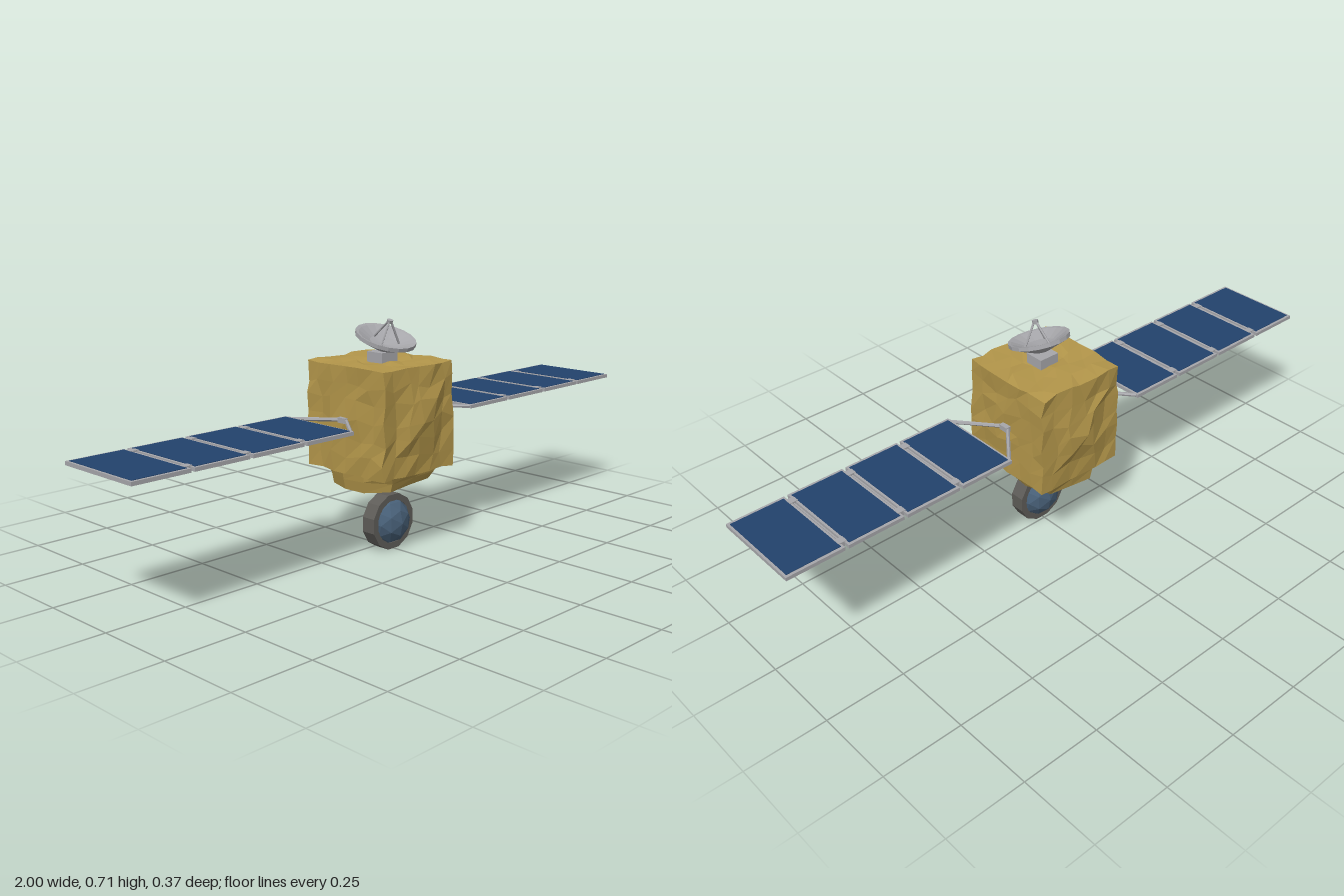
import * as THREE from 'three';

const mat = (name, color) => {
  const m = new THREE.MeshStandardMaterial({ color });
  m.name = name;
  return m;
};

export function createModel() {
  const gold = mat('gold foil', 0xb3964a);
  const grey = mat('light grey metal', 0xa6a6aa);
  const blue = mat('solar blue', 0x22426c);
  const dark = mat('dark grey metal', 0x5e5c58);
  const glass = mat('lens blue', 0x486078);
  const root = new THREE.Group();
  root.name = 'satellite';

  // Faceted mesh helper
  const add = (parent, name, geo, material, x = 0, y = 0, z = 0) => {
    const g = geo.index ? geo.toNonIndexed() : geo;
    g.computeVertexNormals();
    const mesh = new THREE.Mesh(g, material);
    mesh.name = name;
    mesh.position.set(x, y, z);
    parent.add(mesh);
    return mesh;
  };
  const box = (w, h, d) => new THREE.BoxGeometry(w, h, d);
  const rod = (parent, name, a, b, r, material, sides = 6) => {
    const va = new THREE.Vector3(...a), vb = new THREE.Vector3(...b);
    const dir = vb.clone().sub(va);
    const mesh = add(parent, name, new THREE.CylinderGeometry(r, r, dir.length(), sides), material);
    mesh.position.copy(va).add(vb).multiplyScalar(0.5);
    mesh.quaternion.setFromUnitVectors(new THREE.Vector3(0, 1, 0), dir.normalize());
  };

  // Repeatable noise from a position, so shared corners move together
  const noise = (v, k) => {
    const s = Math.sin(Math.round(v.x * 1000) * 12.99 + Math.round(v.y * 1000) * 78.23
      + Math.round(v.z * 1000) * 37.72 + k * 19.19) * 4375.85;
    return (s - Math.floor(s)) * 2 - 1;
  };
  const reshape = (geo, rule) => {
    const p = geo.attributes.position, v = new THREE.Vector3();
    for (let i = 0; i < p.count; i++) {
      v.fromBufferAttribute(p, i);
      rule(v);
      p.setXYZ(i, v.x, v.y, v.z);
    }
    return geo;
  };

  // Crumpled foil body with a shallow peak on the front and back
  const bodyGeo = reshape(new THREE.BoxGeometry(0.3, 0.322, 0.318, 6, 6, 6), (v) => {
    const o = v.clone();
    const onX = Math.abs(o.x) > 0.149, onY = Math.abs(o.y) > 0.16, onZ = Math.abs(o.z) > 0.158;
    const edge = onX + onY + onZ > 1;
    v.x += noise(o, 1) * (onX ? 0.005 : 0.015);
    v.y += noise(o, 2) * (onY ? 0.004 : 0.015);
    v.z += noise(o, 3) * (onZ ? 0.005 : 0.015);
    if (onZ && !edge) {
      const peak = Math.max(0, 1 - Math.max(Math.abs(o.x) / 0.1, Math.abs(o.y) / 0.115));
      v.z += Math.sign(o.z) * 0.028 * peak;
    }
  });
  add(root, 'foilBody', bodyGeo, gold, 0, 0.422, 0);

  // Crumpled lower cap with a sloping underside
  const capGeo = reshape(new THREE.CylinderGeometry(1, 0.86, 1, 10, 2), (v) => {
    const o = v.clone(), low = 0.5 - o.y;
    const len = Math.hypot(o.x, o.z);
    const square = len > 0.01 ? 1 / Math.max(Math.abs(o.x), Math.abs(o.z), 0.8 * len) * len : 1;
    v.x = 0.005 + o.x * square * 0.133 + noise(o, 4) * 0.005;
    v.z = o.z * square * 0.143 + noise(o, 5) * 0.005;
    const floor = 0.208 + 0.09 * v.x + 0.08 * v.z + noise(o, 6) * 0.003;
    v.y = THREE.MathUtils.lerp(0.265, floor, low);
  });
  add(root, 'lowerCap', capGeo, gold);

  // Round instrument under the body
  const eye = new THREE.Group();
  eye.name = 'instrument';
  eye.position.set(0, 0.09, 0.033);
  root.add(eye);
  const ring = [[0.068, -0.0235], [0.0885, -0.0235], [0.0885, 0.0235], [0.068, 0.0235], [0.068, -0.0235]];
  const ringGeo = new THREE.LatheGeometry(ring.map((p) => new THREE.Vector2(...p)), 12);
  ringGeo.rotateX(Math.PI / 2).rotateZ(Math.PI / 12);
  add(eye, 'instrumentRing', ringGeo, dark);
  add(eye, 'instrumentLens', new THREE.IcosahedronGeometry(1, 1).scale(0.075, 0.075, 0.062), glass);

  // Tilted dish on its pedestal
  add(root, 'dishPedestal', box(0.068, 0.034, 0.062), grey, 0, 0.595, 0.008);
  const dish = new THREE.Group();
  dish.name = 'dish';
  dish.position.set(0, 0.655, 0.023);
  dish.rotation.x = 0.315;
  root.add(dish);
  const bowl = [[0, -0.042], [0.025, -0.038], [0.093, -0.007], [0.093, 0.005], [0.084, 0.003],
    [0.045, -0.016], [0, -0.024]];
  add(dish, 'dishBowl', new THREE.LatheGeometry(bowl.map((p) => new THREE.Vector2(...p)), 18), grey);
  for (let i = 0; i < 3; i++) {
    const a = Math.PI / 2 + i * Math.PI * 2 / 3;
    const c = Math.cos(a), s = Math.sin(a);
    rod(dish, 'feedStrut', [c * 0.045, -0.015, -s * 0.045], [c * 0.005, 0.05, -s * 0.005], 0.0035, grey);
  }
  add(dish, 'feedHorn', new THREE.CylinderGeometry(0.01, 0.008, 0.011, 8), grey, 0, 0.051, 0);

  // Solar wings, mirrored left and right
  const Y = 0.423, W = 0.178, PITCH = 0.189, DEPTH = 0.29;
  for (const s of [1, -1]) {
    const wing = new THREE.Group();
    wing.name = s > 0 ? 'leftWing' : 'rightWing';
    wing.position.y = Y;
    root.add(wing);
    for (let i = 0; i < 4; i++) {
      const x = s * (0.255 + W / 2 + i * PITCH);
      add(wing, 'panelFrame', box(W, 0.011, DEPTH), grey, x, 0, 0);
      add(wing, 'solarCells', box(W - 0.014, 0.014, DEPTH - 0.018), blue, x, 0, 0);
      // Hinges and cross bar between neighbouring panels
      if (i < 3) {
        const gx = x + s * PITCH / 2;
        for (const z of [-0.115, 0.115]) add(wing, 'hinge', box(0.026, 0.015, 0.022), grey, gx, 0, z);
        add(wing, 'hingeBar', box(0.004, 0.006, 0.24), grey, gx, 0, 0);
      }
    }
    // V-shaped yoke to the body
    for (const z of [-1, 1]) {
      rod(wing, 'yokeArm', [s * 0.155, 0, z * 0.01], [s * 0.26, 0, z * 0.138], 0.006, grey);
    }
    add(wing, 'yokeMount', box(0.03, 0.016, 0.032), grey, s * 0.15, 0, 0);
  }
  return root;
}
